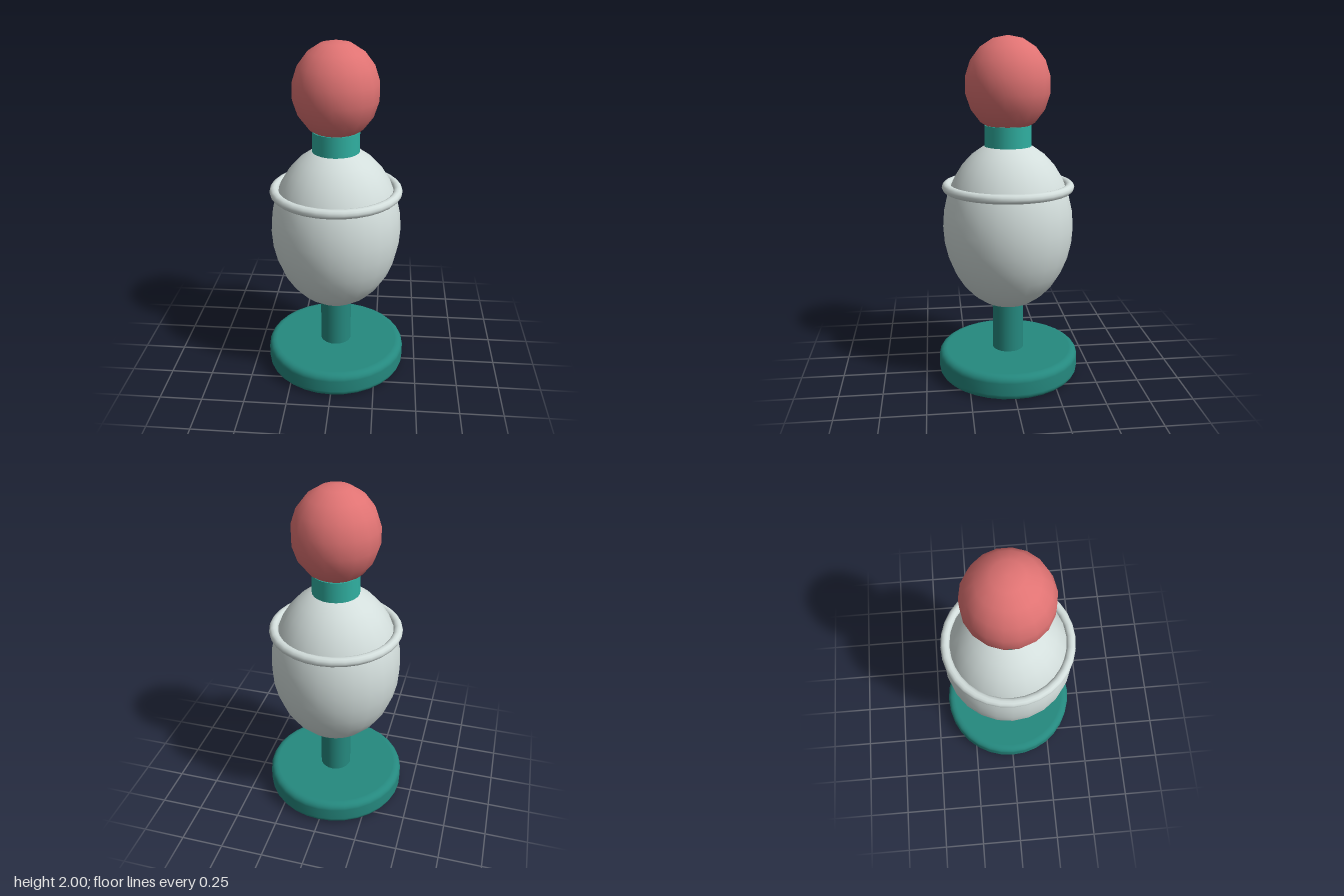
import * as THREE from 'three';

const mat = (name, color) => {
  const m = new THREE.MeshStandardMaterial({ color });
  m.name = name;
  return m;
};

export function createModel() {
  const group = new THREE.Group();
  const red = mat('coral red', 0xe07373);
  const grey = mat('pale grey', 0xd3dedc);
  const teal = mat('bright teal', 0x30b0a1);
  const darkTeal = mat('deep teal', 0x25897f);

  const add = (name, geometry, material, y) => {
    const mesh = new THREE.Mesh(geometry, material);
    mesh.name = name;
    mesh.position.y = y;
    group.add(mesh);
    return mesh;
  };

  // Base disc with rounded rims
  const R = 0.42, H = 0.15, c = 0.04;
  const profile = [new THREE.Vector2(0, 0), new THREE.Vector2(R - c - 0.005, 0)];
  for (const [cy, start] of [[c, -Math.PI / 2], [H - c, 0]]) {
    for (let i = 0; i <= 5; i++) {
      const a = start + (i / 5) * Math.PI / 2;
      profile.push(new THREE.Vector2(R - c + c * Math.cos(a), cy + c * Math.sin(a)));
    }
  }
  profile.push(new THREE.Vector2(R - c - 0.005, H), new THREE.Vector2(0, H));
  add('base', new THREE.LatheGeometry(profile, 32), darkTeal, 0);

  // Stem between base and body
  add('stem', new THREE.CylinderGeometry(0.093, 0.093, 0.34, 24), darkTeal, 0.3);

  // Egg-shaped body
  const body = new THREE.SphereGeometry(1, 24, 16);
  body.scale(0.38, 0.5, 0.38);
  add('body', body, grey, 0.92);

  // Ring around the shoulders
  const ring = new THREE.TorusGeometry(0.356, 0.027, 12, 32);
  ring.rotateX(Math.PI / 2);
  add('collarRing', ring, grey, 1.153);

  // Neck
  add('neck', new THREE.CylinderGeometry(0.135, 0.135, 0.165, 24), teal, 1.4225);

  // Faceted-outline ball head, with a vertex pair on the z axis
  const head = new THREE.SphereGeometry(1, 18, 9);
  head.rotateY(Math.PI / 2);
  head.scale(0.244, 0.27, 0.244);
  add('head', head, red, 1.73);

  return group;
}
